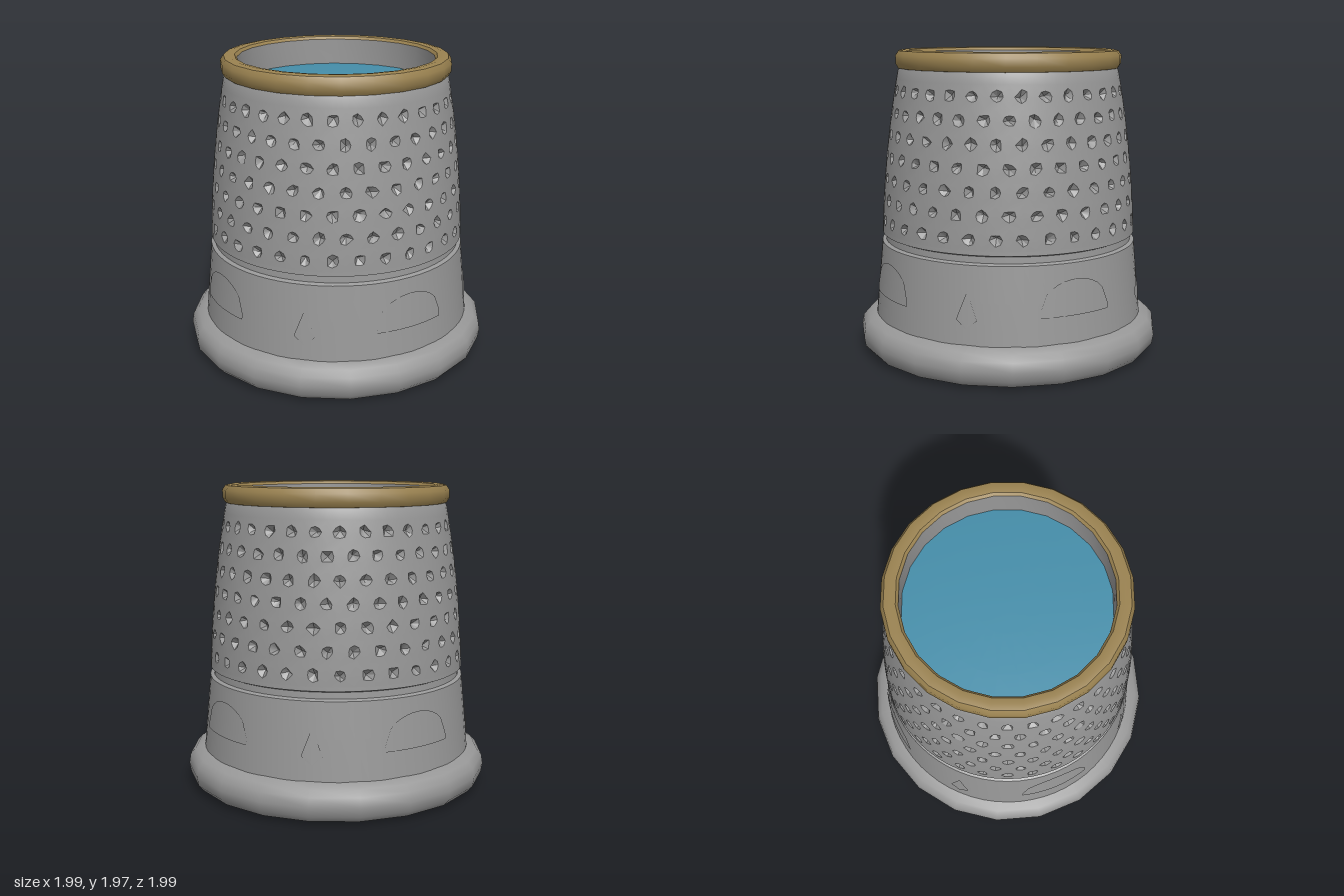
import * as THREE from 'three';
import { toCreasedNormals } from 'three/addons/utils/BufferGeometryUtils.js';

const grey = new THREE.MeshStandardMaterial({ color: 0x989898 });
grey.name = 'grey metal';
const gold = new THREE.MeshStandardMaterial({ color: 0x9a8250 });
gold.name = 'dull gold';
const blue = new THREE.MeshStandardMaterial({ color: 0x468fab });
blue.name = 'blue';

const COLS = 32, ROWS = 7, Y0 = 0.81, Y1 = 1.78;

// Radius of the slightly bulging upper wall at a height
function wallRadius(y) {
  const t = (y - 0.8) / 1.05;
  return 0.835 - 0.04 * t - 0.08 * t * t;
}

// Radius of the lower band at a height
const bandRadius = (y) => 0.885 - (y - 0.25) * 0.096;

function seeded(seed) {
  return () => (seed = (seed * 16807) % 2147483647) / 2147483647;
}

function lathe(name, profile, segments, material, crease = 0.7) {
  const points = profile.map(([x, y]) => new THREE.Vector2(x, y));
  const geo = toCreasedNormals(new THREE.LatheGeometry(points, segments), crease);
  const mesh = new THREE.Mesh(geo, material);
  mesh.name = name;
  return mesh;
}

// Staggered cells, each with an uneven little pit sunk into the wall
function dimpledWall() {
  const random = seeded(77);
  const pos = [];
  const da = (Math.PI * 2) / COLS, dy = (Y1 - Y0) / ROWS;
  const edge = [[1, 0], [1, 1], [0, 1], [-1, 1], [-1, 0], [-1, -1], [0, -1], [1, -1]];
  const point = (a, y, depth = 0) => {
    const r = wallRadius(y) - depth;
    return [r * Math.sin(a), y, r * Math.cos(a)];
  };
  for (let row = 0; row < ROWS; row++) {
    for (let col = 0; col < COLS; col++) {
      const a = (col + (row % 2) * 0.5) * da, y = Y0 + (row + 0.5) * dy;
      const r = wallRadius(y);
      const outer = edge.map(([u, v]) => point(a + u * da / 2, y + v * dy / 2));
      const ring = edge.map((_, i) => {
        const s = 0.028 + random() * 0.016, t = i * Math.PI / 4;
        return point(a + s * Math.cos(t) / r, y + s * Math.sin(t));
      });
      const centre = point(a + (random() - 0.5) * 0.02, y + (random() - 0.5) * 0.02, 0.035);
      for (let i = 0; i < 8; i++) {
        const j = (i + 1) % 8;
        pos.push(...outer[i], ...outer[j], ...ring[j]);
        pos.push(...outer[i], ...ring[j], ...ring[i]);
        pos.push(...ring[i], ...ring[j], ...centre);
      }
    }
  }
  const geo = new THREE.BufferGeometry();
  geo.setAttribute('position', new THREE.Float32BufferAttribute(pos, 3));
  const mesh = new THREE.Mesh(toCreasedNormals(geo, 0.45), grey);
  mesh.name = 'dimpledWall';
  return mesh;
}

// Low-relief plate curved round the lower band; shape(u, v) gives [across, height]
function reliefPlate(name, angle, shape) {
  const geo = new THREE.PlaneGeometry(2, 1, 12, 4);
  const p = geo.attributes.position;
  for (let i = 0; i < p.count; i++) {
    const [x, y] = shape(p.getX(i), p.getY(i) + 0.5);
    const r = bandRadius(y) + 0.007, a = angle + x / r;
    p.setXYZ(i, r * Math.sin(a), y, r * Math.cos(a));
  }
  geo.computeVertexNormals();
  const mesh = new THREE.Mesh(geo, grey);
  mesh.name = name;
  return mesh;
}

const dome = (u, v) => [u * 0.24, 0.41 + v * (0.04 + 0.18 * Math.sqrt(Math.max(0, 1 - u * u)))];
const kite = (u, v) => [u * 0.07 * Math.min(v / 0.2, (1 - v) / 0.8), 0.34 + v * 0.23];

export function createModel() {
  const model = new THREE.Group();
  model.name = 'thimbleBucket';

  // Rounded foot with a flat underside
  model.add(lathe('foot', [
    [0, 0], [0.9, 0], [0.95, 0.02], [0.985, 0.06], [0.995, 0.12], [0.985, 0.18],
    [0.95, 0.22], [0.89, 0.245], [0.84, 0.25],
  ], 20, grey));

  // Plain lower band and the groove above it
  model.add(lathe('lowerBand', [
    [bandRadius(0.23), 0.23], [bandRadius(0.5), 0.5], [bandRadius(0.725), 0.725],
    [0.815, 0.735], [0.812, 0.775], [0.836, 0.785], [wallRadius(Y0), Y0],
  ], 64, grey, 0.5));

  // Pitted upper wall and the plain strip under the rim
  model.add(dimpledWall());
  model.add(lathe('neck', [
    [wallRadius(Y1), Y1], [wallRadius(1.83), 1.83], [0.7, 1.87],
  ], 64, grey));

  // Reliefs alternating round the lower band
  for (let i = 0; i < 4; i++) {
    const angle = i * Math.PI / 2;
    model.add(reliefPlate('kiteRelief', angle, kite));
    model.add(reliefPlate('domeRelief', angle + Math.PI / 4, dome));
  }

  // Gold rim, inner wall and blue filling
  model.add(lathe('rim', [
    [0.69, 1.845], [0.718, 1.85], [0.736, 1.88], [0.736, 1.93], [0.715, 1.96],
    [0.68, 1.967], [0.645, 1.962], [0.63, 1.945],
  ], 24, gold));
  model.add(lathe('innerWall', [[0.63, 1.945], [0.63, 1.76]], 24, grey));
  model.add(lathe('filling', [
    [0.632, 1.775], [0.45, 1.79], [0.2, 1.798], [0, 1.8],
  ], 24, blue));

  return model;
}
